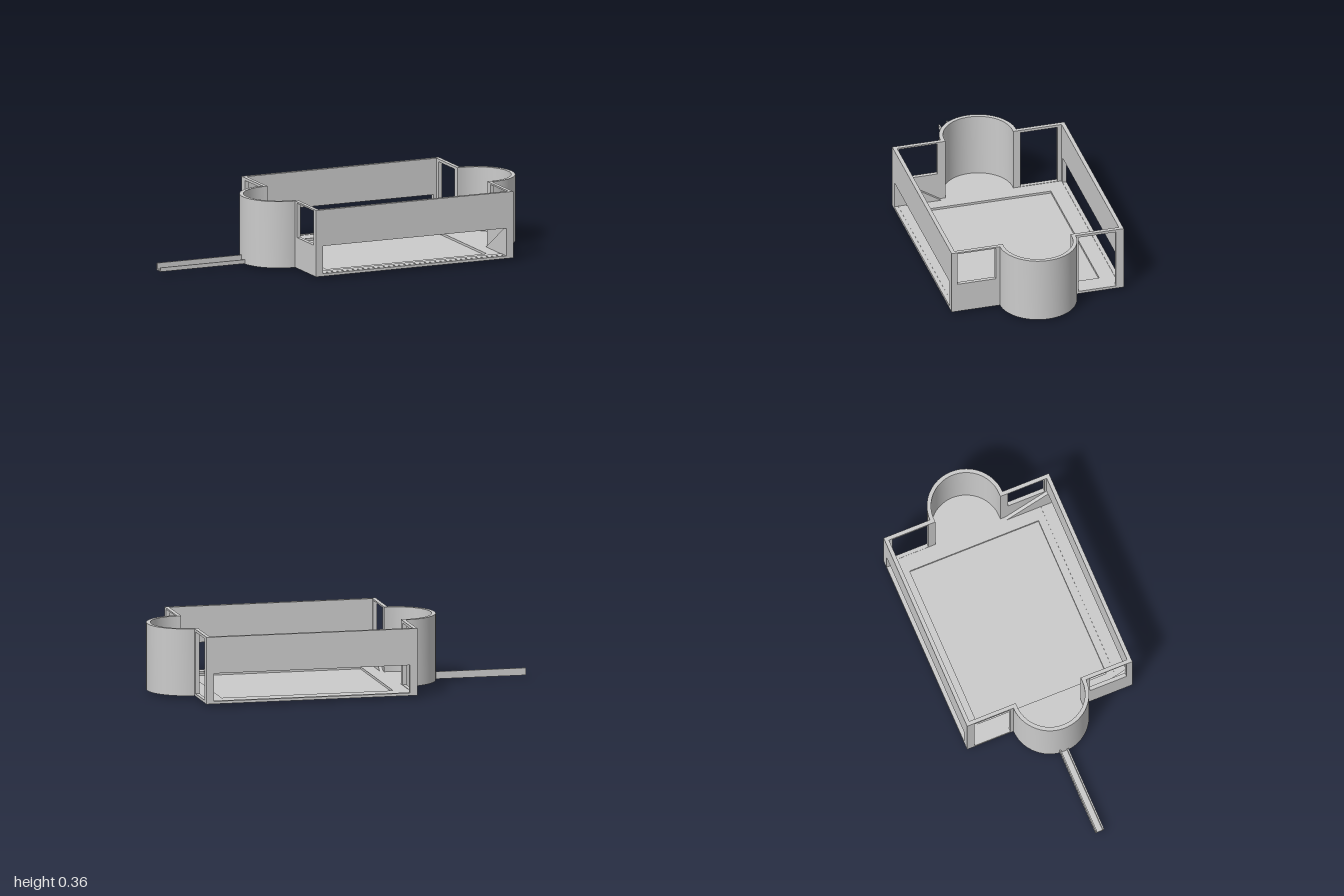
import * as THREE from 'three';
import { toCreasedNormals } from 'three/addons/utils/BufferGeometryUtils.js';

const CX = 0.24;            // middle of the tray along x
const HX = 0.56, HZ = 0.462; // half size of the rectangular tray
const R = 0.203, T = 0.021;  // bay radius, wall thickness
const Y0 = 0.013, Y1 = 0.364, FLOOR = 0.025;

export function createModel() {
  const group = new THREE.Group();
  const material = new THREE.MeshStandardMaterial({ color: 0xcccccc });

  const add = (name, geometry, parent = group) => {
    const mesh = new THREE.Mesh(geometry, material);
    mesh.name = name;
    parent.add(mesh);
    return mesh;
  };
  const box = (name, x0, x1, y0, y1, z0, z1, parent) => {
    const g = new THREE.BoxGeometry(x1 - x0, y1 - y0, z1 - z0);
    g.translate((x0 + x1) / 2, (y0 + y1) / 2, (z0 + z1) / 2);
    return add(name, g, parent);
  };
  const rect = (S, a0, a1, b0, b1) => new S([
    [a0, b0], [a1, b0], [a1, b1], [a0, b1],
  ].map(([a, b]) => new THREE.Vector2(a, b)));
  const extrude = (shape, depth) => toCreasedNormals(
    new THREE.ExtrudeGeometry(shape, { depth, bevelEnabled: false, curveSegments: 20 }), 0.5);
  // Plan shapes (x, z) hang down from the height "top"
  const plan = (shape, top, depth) => extrude(shape, depth).rotateX(Math.PI / 2).translate(0, top, 0);
  // Side shapes (z, y) are extruded along x, starting at x0
  const side = (shape, x0, depth) =>
    extrude(shape, depth).rotateY(-Math.PI / 2).translate(x0 + depth, 0, 0);

  const tray = new THREE.Group();
  tray.name = 'tray';
  tray.position.x = CX;
  group.add(tray);

  // Floor with rounded bays at both ends and a rectangular recess
  const r = R - T / 2, fx = HX - T / 2, fz = HZ - T / 2;
  const floor = new THREE.Shape();
  floor.moveTo(-fx, -fz);
  floor.lineTo(fx, -fz);
  floor.lineTo(fx, -r);
  floor.absarc(HX, 0, r, -Math.PI / 2, Math.PI / 2, false);
  floor.lineTo(fx, r);
  floor.lineTo(fx, fz);
  floor.lineTo(-fx, fz);
  floor.lineTo(-fx, r);
  floor.absarc(-HX, 0, r, Math.PI / 2, Math.PI * 1.5, false);
  floor.lineTo(-fx, -r);
  floor.holes.push(rect(THREE.Path, -0.455, 0.455, -0.36, 0.36));
  add('floor', plan(floor, FLOOR, FLOOR - Y0), tray);
  box('basePlate', -0.457, 0.457, 0, Y0, -0.36, 0.36, tray);

  // Long front and back walls with low, wide windows
  for (const s of [1, -1]) {
    const wall = rect(THREE.Shape, -HX, HX, Y0, Y1);
    wall.holes.push(rect(THREE.Path, -0.52, 0.52, 0.027, 0.173));
    const g = extrude(wall, T).translate(0, 0, s > 0 ? HZ - T : -HZ);
    add(s > 0 ? 'frontWall' : 'backWall', g, tray);
  }

  for (const s of [1, -1]) {
    const label = s > 0 ? 'left' : 'right';
    const x0 = s > 0 ? HX - T : -HX;

    // Short wall at the front corner with a high window
    const front = rect(THREE.Shape, R - T, HZ - T, Y0, Y1);
    front.holes.push(rect(THREE.Path, 0.225, 0.43, 0.175, 0.356));
    add(label + 'FrontEndWall', side(front, x0, T), tray);

    // Short wall at the back corner with a tall doorway
    const back = rect(THREE.Shape, -HZ + T, -R + T, Y0, Y1);
    back.holes.push(rect(THREE.Path, -0.42, -0.22, 0.027, 0.35));
    add(label + 'BackEndWall', side(back, x0, T), tray);

    // Half-round bay wall
    const bay = new THREE.Shape();
    bay.moveTo(HX, -R);
    bay.absarc(HX, 0, R, -Math.PI / 2, Math.PI / 2, false);
    bay.absarc(HX, 0, R - T, Math.PI / 2, -Math.PI / 2, true);
    const g = plan(bay, Y1, Y1 - Y0);
    if (s < 0) g.rotateY(Math.PI);
    add(label + 'BayWall', g, tray);

    // Sloped gusset against the inside of the front end wall
    const gusset = new THREE.Shape([[0.21, FLOOR], [HZ - T, FLOOR], [HZ - T, 0.173]]
      .map(([a, b]) => new THREE.Vector2(a, b)));
    add(label + 'Gusset', side(gusset, s > 0 ? HX - T - 0.018 : -HX + T, 0.018), tray);
  }

  // Low sill along the inside of the front wall
  box('frontSill', -0.52, 0.52, FLOOR - 0.003, 0.028, 0.4, HZ - T, tray);

  // Open channel leading away from the right bay
  const channel = new THREE.Group();
  channel.name = 'channel';
  group.add(channel);
  const c0 = -1, c1 = CX - HX - R + 0.008;
  box('channelFloor', c0, c1, 0.015, 0.021, -0.028, 0.02, channel);
  box('channelBackSide', c0, c1, 0.015, 0.053, -0.028, -0.021, channel);
  box('channelFrontSide', c0, c1, 0.015, 0.036, 0.012, 0.02, channel);

  return group;
}
